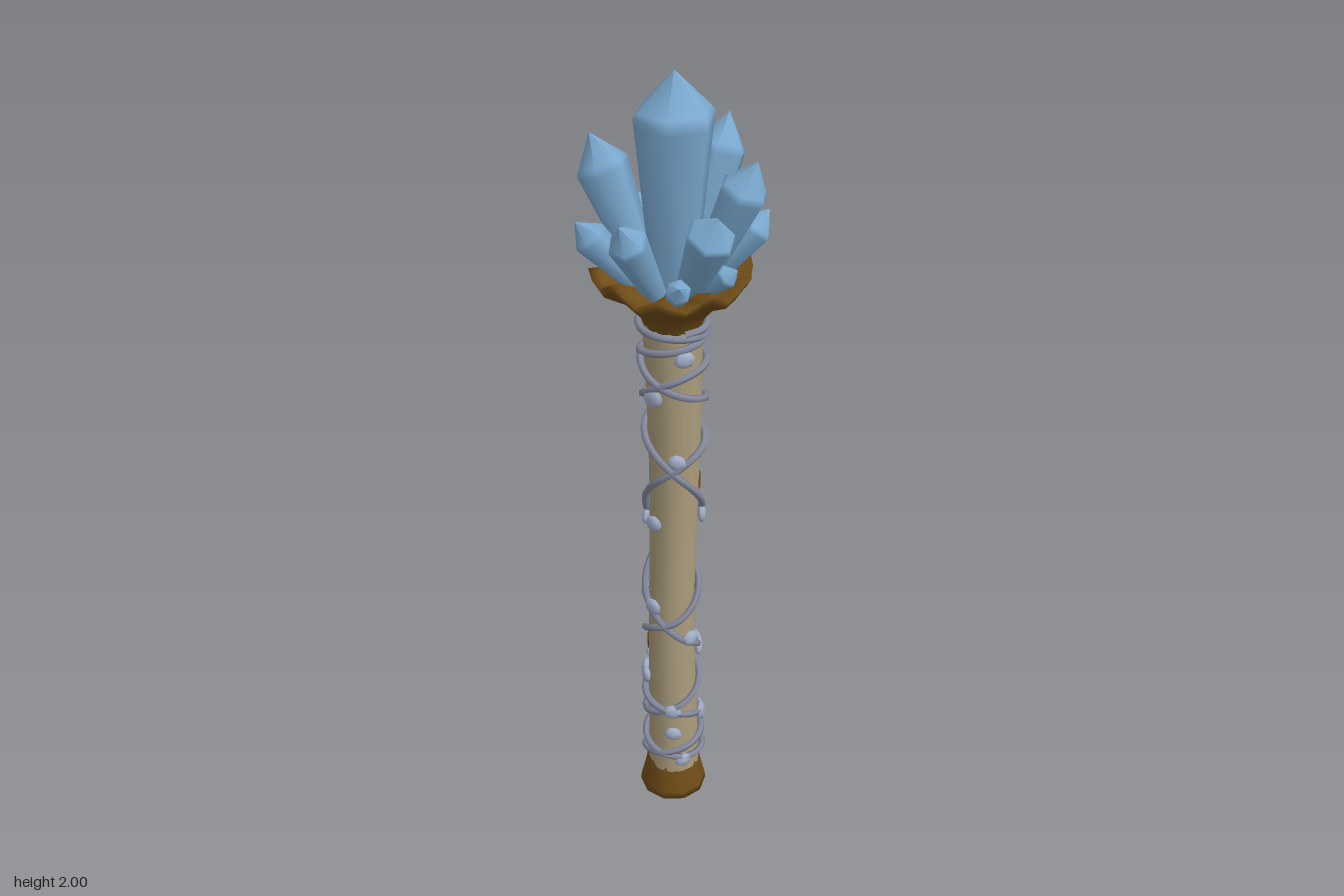
import * as THREE from 'three';

const mat = (name, color, side = THREE.FrontSide) => {
  const m = new THREE.MeshStandardMaterial({ color, side });
  m.name = name;
  return m;
};
const rad = THREE.MathUtils.degToRad;
const vec = (x, y) => new THREE.Vector2(x, y);

// Gentle bend of the staff along its length
const bend = y => 0.011 * Math.sin((y - 0.85) * 5.7) * (y < 0.3 ? y / 0.3 : 1);
const shaftRadius = y => 0.057 + 0.022 * Math.pow(Math.abs(y - 0.75), 1.6);

export function createModel() {
  const group = new THREE.Group();
  const crystal = mat('crystal blue', 0x7aa9cf);
  const tan = mat('pale wood', 0xab9c7c);
  const brown = mat('dark wood', 0x704d18, THREE.DoubleSide);
  const vineGrey = mat('vine grey', 0x858a9e);
  const leafGrey = mat('leaf lavender', 0xa3aec8);

  const add = (name, geometry, material, parent = group) => {
    const mesh = new THREE.Mesh(geometry, material);
    mesh.name = name;
    parent.add(mesh);
    return mesh;
  };

  // Shaft: lathe shifted along the bend
  const shaftPoints = [];
  for (let i = 0; i <= 20; i++) {
    const y = 0.13 + i * 0.067;
    shaftPoints.push(vec(shaftRadius(y), y));
  }
  const bendGeometry = geo => {
    const p = geo.attributes.position;
    for (let i = 0; i < p.count; i++) p.setZ(i, p.getZ(i) + bend(p.getY(i)));
    return geo;
  };
  add('shaft', bendGeometry(new THREE.LatheGeometry(shaftPoints, 14)), tan);

  // Flared foot
  add('foot', new THREE.LatheGeometry([
    vec(0, 0), vec(0.04, 0.012), vec(0.087, 0.045), vec(0.085, 0.065), vec(0.072, 0.12), vec(0.067, 0.15), vec(0.055, 0.155),
  ], 10), brown);

  // Bare bark patches: [angle, height, arc, size]
  for (const [a, y, arc, h] of [[75, 1.02, 60, 0.028], [115, 0.665, 60, 0.04], [185, 0.66, 60, 0.04], [-110, 0.52, 40, 0.03]]) {
    const r = shaftRadius(y) + 0.003;
    const patch = add('barkPatch', new THREE.CylinderGeometry(r, r, h, 6, 1, true, rad(a - arc / 2), rad(arc)), brown);
    patch.position.set(0, y, bend(y));
  }

  // Collar: flared cup with a ragged rim
  const collar = new THREE.LatheGeometry([
    vec(0.064, 1.425), vec(0.072, 1.45), vec(0.092, 1.475), vec(0.115, 1.5), vec(0.16, 1.53),
    vec(0.172, 1.552), vec(0.15, 1.55), vec(0.1, 1.53), vec(0, 1.52),
  ], 36);
  const cp = collar.attributes.position;
  for (let i = 0; i < cp.count; i++) {
    const x = cp.getX(i), y = cp.getY(i), z = cp.getZ(i);
    const a = Math.atan2(x, z);
    const w = THREE.MathUtils.smoothstep(y, 1.48, 1.55);
    const s = 1 + w * (0.04 * Math.sin(9 * a) + 0.04 * Math.cos(4 * a + 1));
    cp.setXYZ(i, x * s, y + w * (0.016 * Math.sin(9 * a) + 0.006 * Math.cos(5 * a)), z * s);
  }
  collar.computeVertexNormals();
  add('collar', collar, brown);

  // Vines: two opposite spirals given as [angle, height]
  const strands = [
    [[-1080, 1.435], [-720, 1.425], [-540, 1.38], [-360, 1.28], [-180, 1.2], [-90, 1.15], [0, 1.05], [90, 0.92], [180, 0.8],
      [270, 0.68], [360, 0.57], [450, 0.49], [540, 0.4], [720, 0.33], [900, 0.25], [1080, 0.19], [1260, 0.17]],
    [[900, 1.43], [720, 1.4], [540, 1.35], [360, 1.33], [180, 1.2], [90, 1.15], [0, 1.1], [-90, 1.0], [-180, 0.8],
      [-270, 0.72], [-360, 0.63], [-430, 0.59], [-540, 0.5], [-720, 0.36], [-900, 0.28], [-1080, 0.22], [-1200, 0.17]],
  ];
  for (const strand of strands) {
    const path = new THREE.CatmullRomCurve3(strand.map(([a, y]) => new THREE.Vector3(rad(a), y, 0)));
    const points = path.getPoints(150).map(({ x: a, y }) => {
      const r = shaftRadius(y) + 0.009;
      return new THREE.Vector3(r * Math.sin(a), y, r * Math.cos(a) + bend(y));
    });
    add('vine', new THREE.TubeGeometry(new THREE.CatmullRomCurve3(points), 320, 0.009, 5), vineGrey);
  }

  // Leaves: flat pads against the shaft, [angle, height, size]
  const leafGeo = new THREE.SphereGeometry(1, 7, 5);
  const leaves = [
    [0, 1.375, 0.028], [-60, 1.27, 0.032], [-15, 1.11, 0.026], [-65, 0.92, 0.028], [-65, 0.66, 0.03], [25, 0.56, 0.03],
    [70, 0.5, 0.03], [-20, 0.34, 0.028], [-20, 0.27, 0.026], [0, 0.18, 0.026], [70, 0.92, 0.03], [95, 0.5, 0.034],
    [85, 0.28, 0.036], [60, 0.3, 0.032], [130, 0.25, 0.03], [205, 1.24, 0.032], [160, 1.2, 0.026], [230, 0.9, 0.034],
    [250, 0.68, 0.03], [200, 0.45, 0.034], [240, 0.42, 0.032], [210, 0.27, 0.032], [180, 0.22, 0.026], [-95, 0.42, 0.028],
  ];
  leaves.forEach(([deg, y, s], i) => {
    const a = rad(deg), r = shaftRadius(y) + 0.009;
    const leaf = add('leaf', leafGeo, leafGrey);
    leaf.position.set(r * Math.sin(a), y, r * Math.cos(a) + bend(y));
    leaf.rotation.set(0, a, 0.5 * Math.sin(i * 2.3));
    leaf.scale.set(s * 0.9, s * 0.75, 0.011);
  });

  // Crystals: six-sided shards pointing from the collar to a tip, [x, y, z, radius]
  const cluster = new THREE.Group();
  cluster.name = 'crystalCluster';
  group.add(cluster);
  const up = new THREE.Vector3(0, 1, 0);
  const addCrystal = (name, root, tip, r, shoulder) => {
    const dir = tip.clone().sub(root);
    const len = dir.length();
    const geo = new THREE.LatheGeometry([
      vec(0, 0), vec(r * 0.5, 0.01), vec(r * 0.98, len * shoulder * 0.96), vec(r, len * shoulder), vec(r * 0.9, len * (shoulder + 0.02)), vec(0, len),
    ], 6, Math.PI / 2);
    const mesh = add(name, geo, crystal, cluster);
    mesh.position.copy(root);
    mesh.quaternion.setFromUnitVectors(up, dir.normalize());
  };
  addCrystal('mainCrystal', new THREE.Vector3(0.005, 1.45, -0.005), new THREE.Vector3(0.005, 2, -0.005), 0.091, 0.83);
  const shards = [
    [-0.145, 1.845, -0.125, 0.06], [-0.055, 1.7, -0.185, 0.044], [0.075, 1.81, -0.165, 0.05], [0.135, 1.66, -0.145, 0.035],
    [0.165, 1.865, -0.1, 0.06], [0.205, 1.69, 0.045, 0.045], [0.145, 1.83, 0.115, 0.055], [0.035, 1.745, 0.18, 0.055],
    [-0.055, 1.61, 0.195, 0.028], [-0.16, 1.73, 0.12, 0.044], [-0.205, 1.68, -0.05, 0.04], [0.1, 1.6, 0.13, 0.026], [0.01, 1.6, -0.15, 0.026],
  ];
  for (const [x, y, z, r] of shards) {
    addCrystal('sideCrystal', new THREE.Vector3(x * 0.25, 1.5, z * 0.25), new THREE.Vector3(x, y, z), r, 0.8);
  }
  return group;
}
